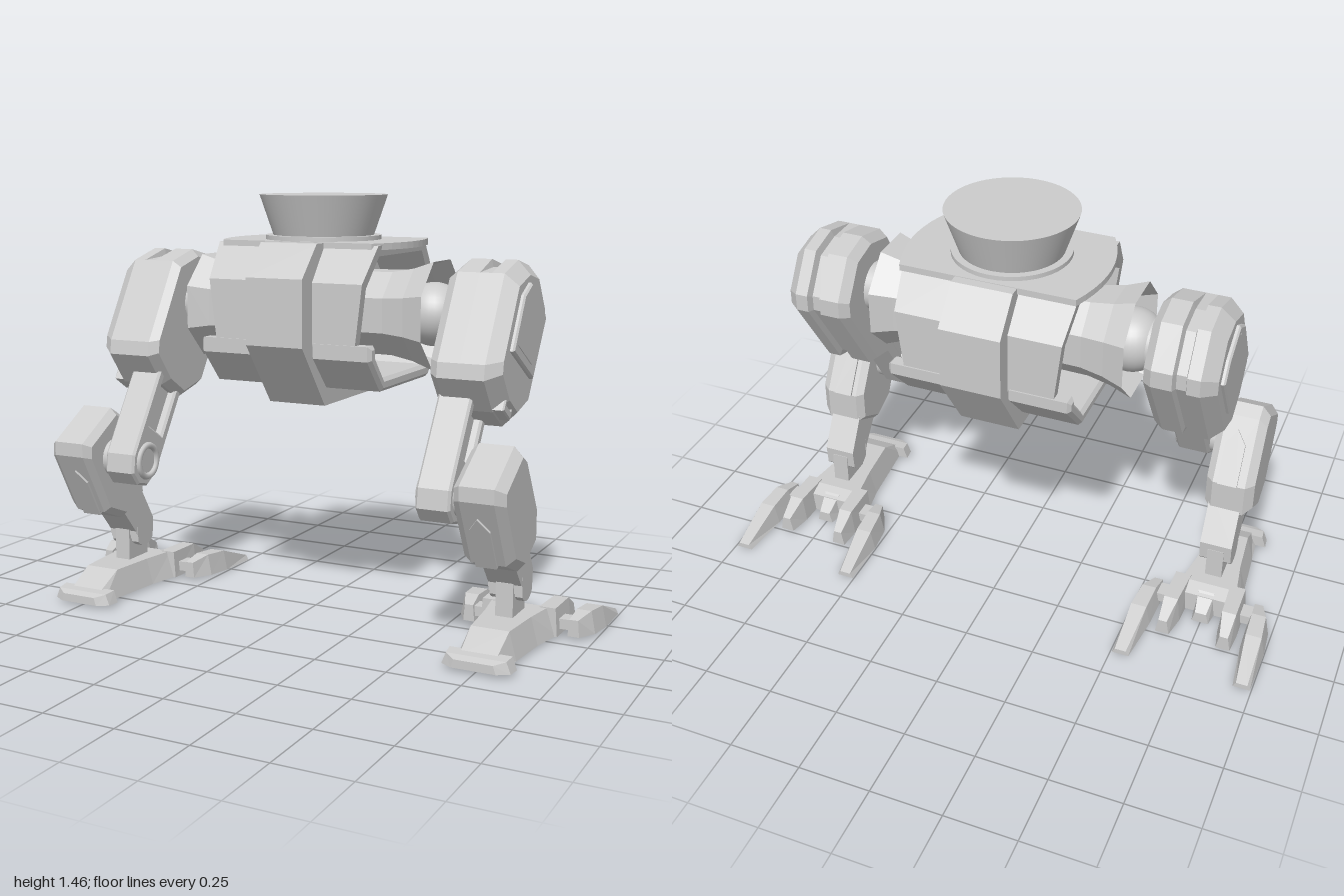
import * as THREE from 'three';

const grey = new THREE.MeshStandardMaterial({ color: 0xcccccc });
const greyOpen = new THREE.MeshStandardMaterial({ color: 0xcccccc, side: THREE.DoubleSide });

function part(name, geometry, parent, material = grey) {
  const mesh = new THREE.Mesh(geometry, material);
  mesh.name = name;
  parent.add(mesh);
  return mesh;
}

// Side profile given as [z, y] points, extruded from x0 to x1
function slab(points, x0, x1, bevel = 0, hole = null) {
  const toV2 = ([z, y]) => new THREE.Vector2(-z, y);
  const shape = new THREE.Shape(points.map(toV2));
  if (hole) shape.holes.push(new THREE.Path(hole.map(toV2)));
  return new THREE.ExtrudeGeometry(shape, {
    depth: x1 - x0 - 2 * bevel, bevelEnabled: bevel > 0, bevelThickness: bevel,
    bevelSize: bevel, bevelOffset: -bevel, bevelSegments: 1,
  }).rotateY(Math.PI / 2).translate(x0 + bevel, 0, 0);
}

// Closed, flat-faced skin through equal-sized rings of [x, y, z] points
function loft(rings) {
  const pos = [];
  const n = rings[0].length;
  const tri = (...corners) => corners.forEach((c) => pos.push(...c));
  const middle = (ring) => [0, 1, 2].map((k) => ring.reduce((s, p) => s + p[k], 0) / n);
  const first = rings[0], last = rings[rings.length - 1];
  for (let i = 0; i < n; i++) {
    const j = (i + 1) % n;
    for (let r = 0; r + 1 < rings.length; r++) {
      const a = rings[r], b = rings[r + 1];
      tri(a[i], b[i], a[j]);
      tri(a[j], b[i], b[j]);
    }
    tri(middle(first), first[i], first[j]);
    tri(middle(last), last[j], last[i]);
  }
  const g = new THREE.BufferGeometry();
  g.setAttribute('position', new THREE.Float32BufferAttribute(pos, 3));
  g.computeVertexNormals();
  return g;
}

function scaled(points, k) {
  const c = [0, 1].map((i) => points.reduce((s, p) => s + p[i], 0) / points.length);
  return points.map((p) => p.map((v, i) => c[i] + (v - c[i]) * k));
}

// Profile armour: steps are [x, scale of the profile]
const armour = (points, steps) => loft(steps.map(([x, k]) => {
  const ring = typeof k === 'number' ? scaled(points, k) : k;
  return ring.map(([z, y]) => [x, y, z]);
}));

// Trapezoid bar, front to back: sections are [z, xCentre, halfBottom, halfTop, y0, y1]
const bar = (sections) => loft(sections.map(([z, c, b, t, y0, y1]) =>
  [[c - b, y0, z], [c + b, y0, z], [c + t, y1, z], [c - t, y1, z]]));

const rod = (r, x0, x1, y, z, sides = 32) =>
  new THREE.CylinderGeometry(r, r, x1 - x0, sides).rotateZ(-Math.PI / 2).translate((x0 + x1) / 2, y, z);

const box = (x0, x1, y0, y1, z0, z1) => new THREE.BoxGeometry(x1 - x0, y1 - y0, z1 - z0)
  .translate((x0 + x1) / 2, (y0 + y1) / 2, (z0 + z1) / 2);

// Geometry reflected in x, with the corner order repaired
function mirrored(geometry) {
  const g = geometry.index ? geometry.toNonIndexed() : geometry.clone();
  g.scale(-1, 1, 1);
  for (const a of Object.values(g.attributes)) {
    const s = a.itemSize;
    for (let i = 0; i < a.count; i += 3) {
      for (let k = 0; k < s; k++) {
        const p = (i + 1) * s + k, q = (i + 2) * s + k;
        [a.array[p], a.array[q]] = [a.array[q], a.array[p]];
      }
    }
  }
  return g;
}

function buildBody(root) {
  const body = new THREE.Group();
  body.name = 'body';
  root.add(body);
  part('centreBand', slab([[0.2, 1.305], [-0.315, 1.305], [-0.42, 1.19], [-0.42, 0.98], [-0.265, 0.757],
    [0.14, 0.757], [0.305, 0.97], [0.305, 1.195]], -0.105, 0.105), body);
  // Top plate with bulging sides
  const plate = new THREE.Shape();
  plate.moveTo(-0.28, -0.15);
  plate.quadraticCurveTo(-0.39, 0.05, -0.3, 0.28);
  plate.lineTo(0.3, 0.28);
  plate.quadraticCurveTo(0.39, 0.05, 0.28, -0.15);
  part('topPlate', new THREE.ExtrudeGeometry(plate, { depth: 0.022, bevelEnabled: false, curveSegments: 10 })
    .rotateX(-Math.PI / 2).translate(0, 1.285, 0), body);
  part('neckRing', new THREE.CylinderGeometry(0.2, 0.2, 0.018, 48).translate(0, 1.313, -0.06), body);
  part('neck', new THREE.CylinderGeometry(0.222, 0.174, 0.14, 48).translate(0, 1.39, -0.06), body);
}

function buildSide() {
  const side = new THREE.Group();

  // Body shell, hollow toward the hip
  const upper = slab([[0.235, 0.97], [0.235, 1.18], [0.14, 1.3], [-0.25, 1.3], [-0.36, 1.18], [-0.36, 0.97],
    [-0.325, 0.97], [-0.325, 1.165], [-0.235, 1.265], [0.125, 1.265], [0.2, 1.165], [0.2, 0.97]], 0.1, 0.3);
  const p = upper.attributes.position;
  for (let i = 0; i < p.count; i++) {
    if (p.getX(i) > 0.2) p.setX(i, 0.3 - 0.12 * (1.3 - p.getY(i)));
  }
  upper.computeVertexNormals();
  part('upperShell', upper, side);
  part('lowerShell', slab([[0.24, 0.98], [0.24, 0.93], [0.14, 0.82], [-0.25, 0.82], [-0.365, 0.94], [-0.365, 0.98],
    [-0.32, 0.98], [-0.32, 0.955], [-0.235, 0.865], [0.125, 0.865], [0.195, 0.945], [0.195, 0.98]],
  0.1, 0.32, 0.012), side);

  // Hip joint
  const flare = [[0.15, 0.1], [0.152, 0.29], [0.168, 0.37], [0.195, 0.445]].map((q) => new THREE.Vector2(...q));
  const flareGeo = new THREE.LatheGeometry(flare, 8, Math.PI / 8).toNonIndexed();
  flareGeo.computeVertexNormals();
  part('hipFlare', flareGeo.rotateZ(-Math.PI / 2).translate(0, 1.065, -0.055), side, greyOpen);
  part('hipBall', new THREE.SphereGeometry(0.108, 32, 20).translate(0.42, 1.065, -0.055), side);
  part('hipShaft', rod(0.085, 0.1, 0.53, 1.065, -0.055), side);

  // Thigh armour with a groove over its top and back
  const thigh = [[0.06, 1.22], [-0.07, 1.255], [-0.18, 1.23], [-0.266, 1.1], [-0.266, 1.04], [-0.08, 0.753],
    [0.05, 0.722], [0.147, 0.784], [0.232, 0.896], [0.224, 0.946]];
  const inset = scaled(thigh, 0.9);
  const groove = thigh.map((q, i) => (i >= 1 && i <= 5 ? inset[i] : q));
  part('thigh', armour(thigh, [[0.515, 0.9], [0.545, 1], [0.615, 1], [0.622, groove], [0.655, groove],
    [0.662, 1], [0.705, 1], [0.752, 0.82]]), side);
  const panel = [[-0.04, 1.185], [-0.15, 1.12], [-0.195, 1.055], [-0.07, 0.865], [0.13, 0.98], [0.03, 1.15]];
  part('thighPanelFrame', slab(panel, 0.73, 0.767, 0.006, scaled(panel, 0.84)), side);
  part('thighPanel', slab(scaled(panel, 0.78), 0.73, 0.762, 0.006), side);

  // Leg axis coordinates: s down the link, t across it
  const along = (s, t) => [-0.02 + 0.54 * s + 0.84 * t, 0.99 - 0.84 * s + 0.54 * t];
  const socket = [[0.11, -0.04], [0.11, 0.04], [0.26, 0.04], [0.26, -0.04]].map((q) => along(...q));
  part('thighSocket', slab(socket, 0.66, 0.745, 0.005, scaled(socket, 0.6)), side);

  // Link from thigh to knee, with raised rims
  const link = [[0.1, -0.083], [0.1, 0.083], [0.56, 0.083], [0.62, 0.055], [0.64, 0], [0.62, -0.055], [0.56, -0.083]]
    .map((q) => along(...q));
  const slot = [[0.12, -0.045], [0.12, 0.045], [0.43, 0.045], [0.43, -0.045]].map((q) => along(...q));
  part('linkRim', slab(link, 0.53, 0.648, 0.008, slot), side);
  part('linkCore', slab(scaled(link, 0.95), 0.56, 0.62), side);
  part('kneePin', rod(0.065, 0.535, 0.71, 0.53, 0.27), side);
  part('kneeRing', new THREE.TorusGeometry(0.055, 0.012, 8, 32).rotateY(Math.PI / 2).translate(0.53, 0.53, 0.27), side);

  // Calf armour
  const calf = [[0.42, 0.6], [0.247, 0.703], [0.2, 0.676], [0.07, 0.467], [0.07, 0.35], [0.19, 0.286],
    [0.3, 0.33], [0.42, 0.552]];
  part('calf', armour(calf, [[0.675, 0.88], [0.7, 1], [0.815, 1], [0.845, 0.84]]), side);

  // Pointed inlays on the calf's front and back faces
  const arrow = new THREE.Shape([[-0.035, -0.1], [0.035, -0.1], [0.035, 0.05], [0, 0.1], [-0.035, 0.05]]
    .map((q) => new THREE.Vector2(...q)));
  for (const [name, y, z, tilt, turn] of [['frontInlay', 0.41, 0.343, 0.495, 0], ['backInlay', 0.55, 0.122, 0.556, Math.PI]]) {
    part(name, new THREE.ExtrudeGeometry(arrow, { depth: 0.016, bevelEnabled: false })
      .translate(0, 0, -0.008).rotateY(turn).rotateX(tilt).translate(0.752, y, z), side);
  }

  // Shin with rounded ankle end
  const shin = [[0.21, 0.33], [0.11, 0.41]];
  for (let i = 0; i <= 12; i++) {
    const a = -0.61 - (Math.PI * i) / 12;
    shin.push([0.055 - 0.06 * Math.cos(a + 0.0), 0.21 + 0.06 * Math.sin(a + 1.22 - 0.61 + 0.61 - 1.22)]);
  }
  const round = shin.slice(2).filter(([z, y]) => y < 0.25).sort((u, v) => u[0] - v[0]);
  part('shin', slab([[0.21, 0.33], [0.1, 0.41], [0.0, 0.245], ...round], 0.692, 0.806), side);
  part('anklePost', box(0.72, 0.78, 0.09, 0.22, 0.0, 0.12), side);

  buildFoot(side);
  return side;
}

function buildFoot(side) {
  const foot = new THREE.Group();
  foot.name = 'foot';
  side.add(foot);
  const X = 0.75;
  const add = (name, sections) => part(name, bar(sections).translate(X, 0, 0), foot);
  add('sole', [[0.36, 0, 0.08, 0.06, 0.01, 0.045], [0.25, 0, 0.09, 0.065, 0.01, 0.105],
    [0.08, 0, 0.105, 0.08, 0.01, 0.105], [-0.05, 0, 0.13, 0.1, 0.01, 0.105], [-0.1, 0, 0.12, 0.09, 0.01, 0.085]]);
  add('toeGuard', [[0.4, 0, 0.075, 0.065, 0.012, 0.04], [0.375, 0, 0.115, 0.1, 0.012, 0.05],
    [0.33, 0, 0.12, 0.105, 0.012, 0.055]]);
  add('heel', [[-0.08, 0, 0.04, 0.03, 0.01, 0.095], [-0.15, 0, 0.03, 0.02, 0.01, 0.05]]);
  for (const s of [-1, 1]) {
    add('heelProng', [[-0.03, s * 0.1, 0.035, 0.028, 0.01, 0.108], [-0.17, s * 0.105, 0.035, 0.025, 0.01, 0.108],
      [-0.25, s * 0.11, 0.025, 0.015, 0.01, 0.065]]);
    add('clawLink', [[-0.06, s * 0.15, 0.05, 0.05, 0.03, 0.065], [-0.12, s * 0.15, 0.05, 0.05, 0.03, 0.065]]);
    add('claw', [[-0.05, s * 0.185, 0.02, 0.015, 0.012, 0.07], [-0.12, s * 0.2, 0.04, 0.025, 0.01, 0.088],
      [-0.22, s * 0.207, 0.043, 0.028, 0.006, 0.08], [-0.395, s * 0.215, 0.03, 0.02, 0, 0.018]]);
  }
}

export function createModel() {
  const root = new THREE.Group();
  root.name = 'walkerLegs';
  buildBody(root);
  const left = buildSide();
  left.name = 'leftSide';
  const right = left.clone();
  right.name = 'rightSide';
  right.traverse((o) => { if (o.isMesh) o.geometry = mirrored(o.geometry); });
  root.add(left, right);
  return root;
}
